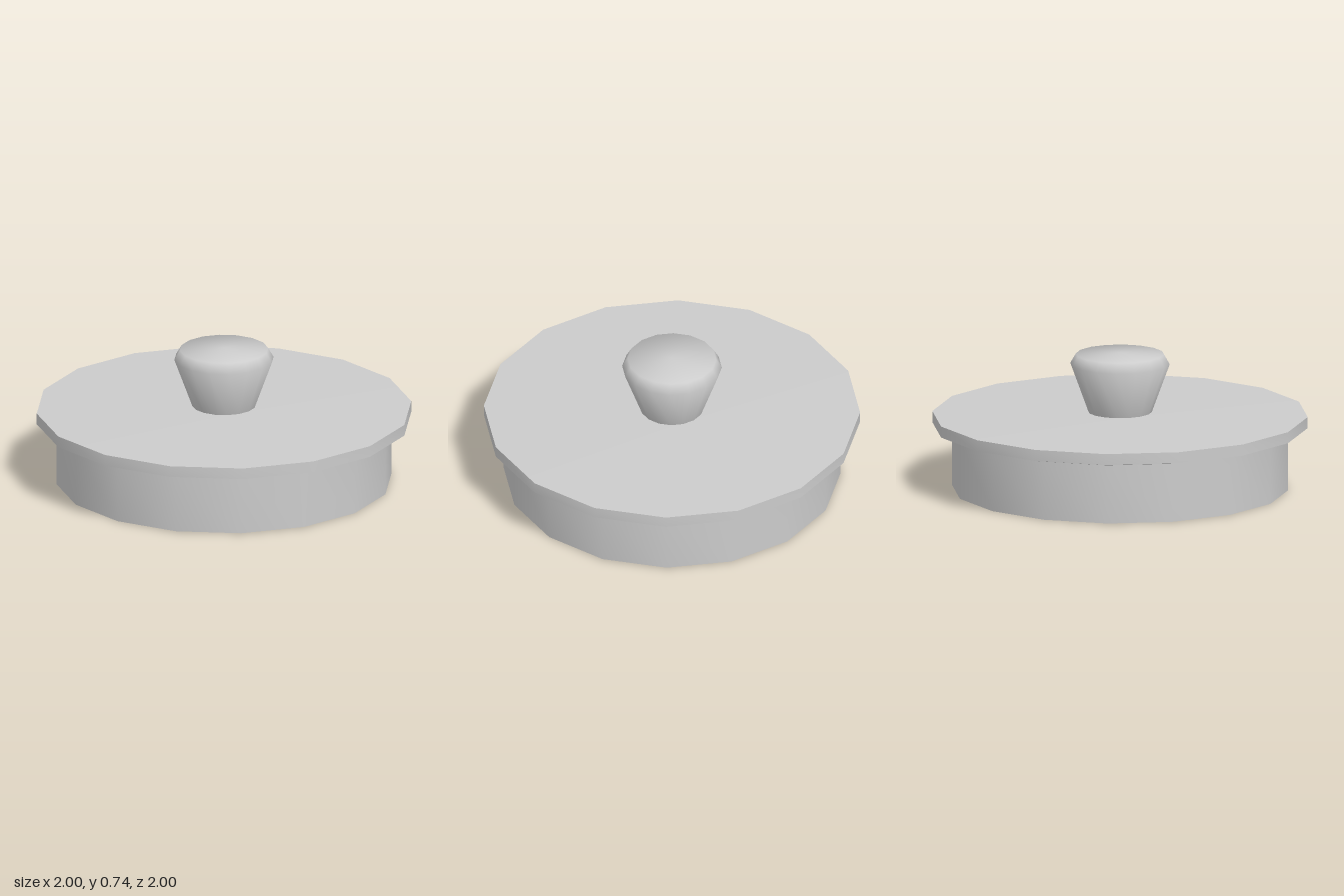
import * as THREE from 'three';
import { toCreasedNormals } from 'three/addons/utils/BufferGeometryUtils.js';

const SIDES = 16;

// Revolve a [radius, height] profile, ordered so the faces point outward
function turned(name, profile, crease) {
  const points = profile.map(([r, y]) => new THREE.Vector2(r, y));
  const geometry = toCreasedNormals(new THREE.LatheGeometry(points, SIDES), crease);
  const mesh = new THREE.Mesh(geometry, new THREE.MeshStandardMaterial({ color: 0xcccccc }));
  mesh.name = name;
  return mesh;
}

export function createModel() {
  const lid = new THREE.Group();
  lid.name = 'lid';

  // Hollow collar that drops into the jar
  lid.add(turned('collar', [
    [0, 0.3], [0.8, 0.3], [0.8, 0], [0.895, 0], [0.895, 0.316],
  ], 0.6));

  // Overhanging plate with a bevelled underside and a very shallow cone on top
  lid.add(turned('plate', [
    [0.895, 0.316], [1, 0.34], [1, 0.4], [0, 0.417],
  ], 0.6));

  // Flared knob with a rounded shoulder and a slightly domed top
  lid.add(turned('knob', [
    [0.168, 0.41], [0.265, 0.675], [0.235, 0.727], [0, 0.735],
  ], 1.2));

  return lid;
}
